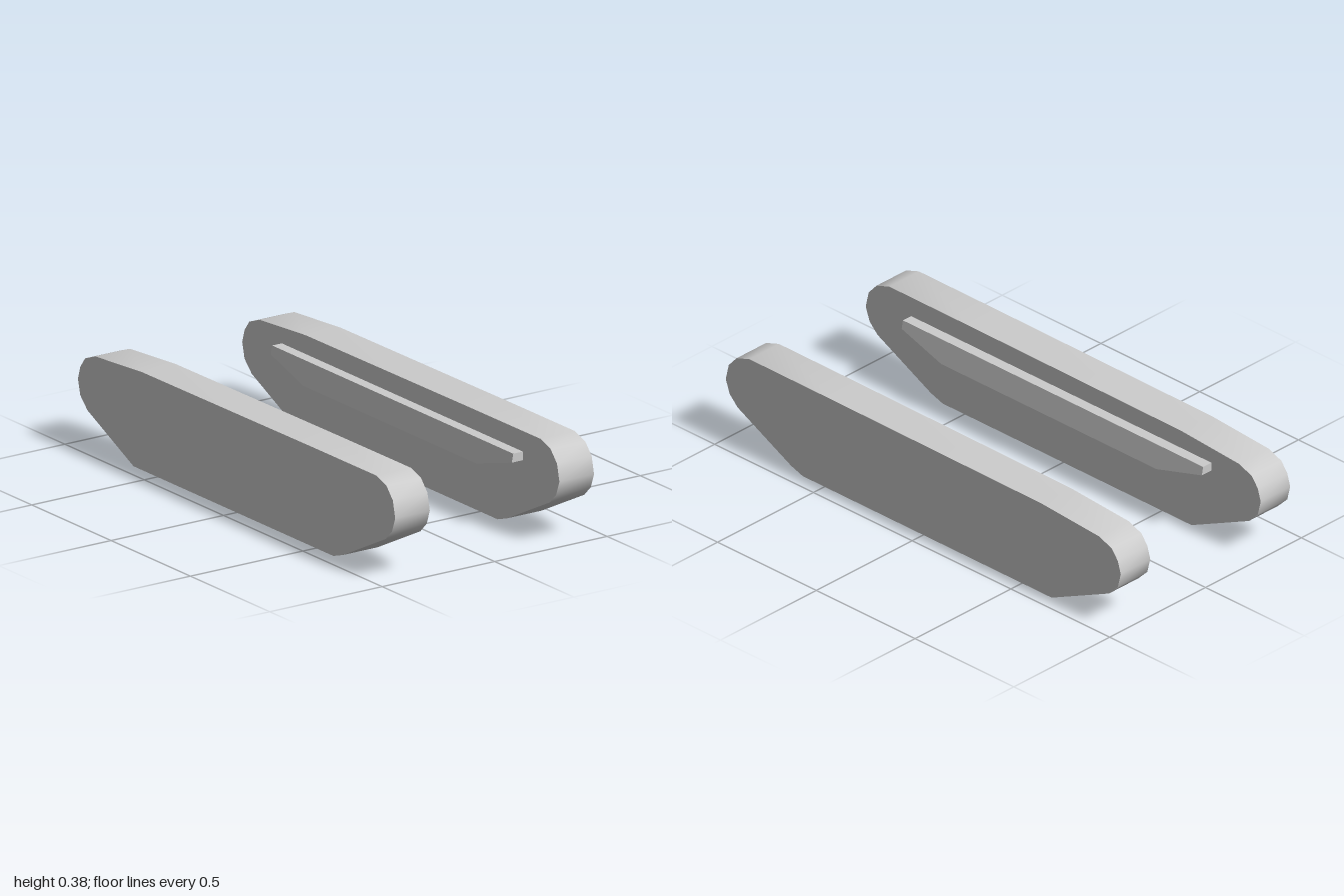
import * as THREE from 'three';
import { toCreasedNormals } from 'three/addons/utils/BufferGeometryUtils.js';

const INNER = 0.288, OUTER = 0.442;

// side outline of a plate, counter-clockwise
const PLATE = [
  [-0.65, 0], [0.61, 0], [0.67, 0.02], [0.94, 0.155], [0.98, 0.195], [1, 0.25],
  [0.985, 0.315], [0.945, 0.36], [0.88, 0.382], [0.46, 0.381], [-0.6, 0.375],
  [-0.89, 0.355], [-0.955, 0.33], [-0.985, 0.29], [-1, 0.24], [-0.985, 0.18], [-0.94, 0.135],
];

// side outline of the inner ledge, with slanted lower corners
const LEDGE = [
  [-0.53, 0.212], [0.56, 0.212], [0.77, 0.27], [0.77, 0.303], [-0.75, 0.303], [-0.75, 0.27],
];

function extrude(points, z0, z1) {
  const shape = new THREE.Shape(points.map(([x, y]) => new THREE.Vector2(x, y)));
  const geometry = new THREE.ExtrudeGeometry(shape, { depth: z1 - z0, bevelEnabled: false });
  return geometry.translate(0, 0, z0);
}

export function createModel() {
  const group = new THREE.Group();
  const material = new THREE.MeshStandardMaterial({ color: 0xcccccc });
  const add = (geometry, name, crease) => {
    const mesh = new THREE.Mesh(toCreasedNormals(geometry, crease), material);
    mesh.name = name;
    group.add(mesh);
  };

  for (const [side, label] of [[1, 'front'], [-1, 'back']]) {
    // thick plate with rounded ends
    const [z0, z1] = side > 0 ? [INNER, OUTER] : [-OUTER, -INNER];
    add(extrude(PLATE, z0, z1), label + 'Plate', 0.6);

    // ledge on the inner side, its face leaning inward toward the bottom
    const [a, b] = side > 0 ? [0.24, INNER] : [-INNER, -0.24];
    const ledge = extrude(LEDGE, a, b);
    const p = ledge.attributes.position;
    for (let i = 0; i < p.count; i++) {
      if (Math.abs(p.getZ(i)) < 0.26) {
        const t = (p.getY(i) - 0.212) / (0.303 - 0.212);
        p.setZ(i, side * THREE.MathUtils.lerp(0.228, 0.245, t));
      }
    }
    add(ledge, label + 'Ledge', 0.2);
  }
  return group;
}
